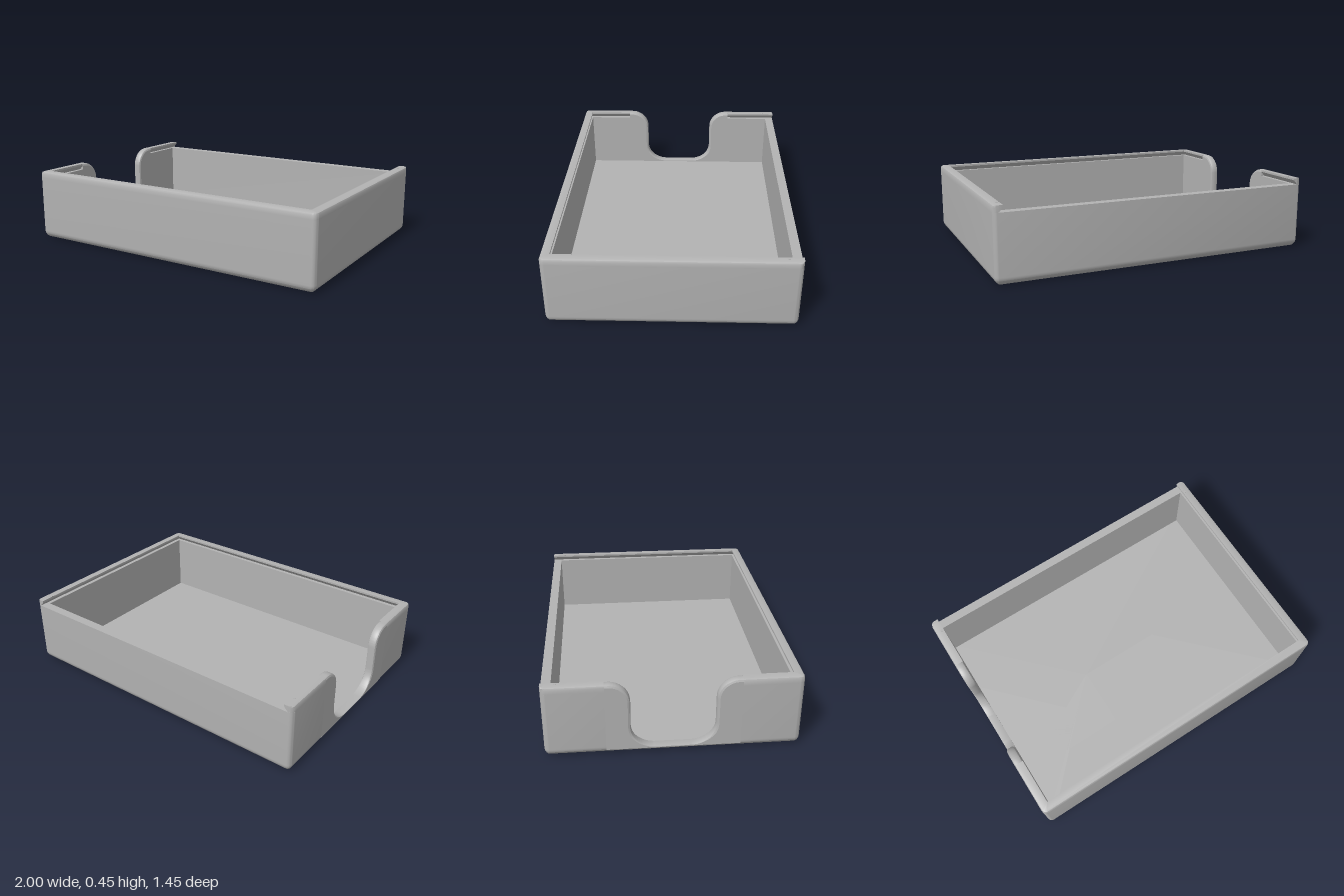
import * as THREE from 'three';
import { toCreasedNormals } from 'three/addons/utils/BufferGeometryUtils.js';

const HX = 1, HZ = 0.725, TOP = 0.45, LEDGE = 0.41, FLOOR = 0.03;
const WALL = 0.055, CORNER = 0.03, FILLET = 0.05, EDGE = 0.015, GAP = 0.38;

const grey = new THREE.MeshStandardMaterial({ color: 0xb3b3b3, side: THREE.DoubleSide });
grey.name = 'grey plastic';

// Skin a grid of points: rows[i][j] = [x, y, z]
function skin(rows, caps = []) {
  const pos = [];
  for (let i = 0; i + 1 < rows.length; i++) {
    for (let j = 0; j + 1 < rows[i].length; j++) {
      const a = rows[i][j], b = rows[i + 1][j], c = rows[i + 1][j + 1], d = rows[i][j + 1];
      pos.push(...a, ...b, ...c, ...a, ...c, ...d);
    }
  }
  for (const t of caps) pos.push(...t);
  const g = new THREE.BufferGeometry();
  g.setAttribute('position', new THREE.Float32BufferAttribute(pos, 3));
  return toCreasedNormals(g, 0.6);
}

// Stations along the outline; each maps an inset to [x, z]
const side = (sx, z) => [(inset) => [sx * (HX - inset), z]];
function corner(sx, sz, from) {
  return Array.from({ length: 7 }, (_, k) => (inset) => {
    const a = from - (k / 6) * Math.PI / 2;
    const r = Math.max(0, CORNER - inset);
    return [sx * (HX - inset - r) + r * Math.cos(a), sz * (HZ - inset - r) + r * Math.sin(a)];
  });
}
// Rim end at the open back, following the rounded corner below it
function backEnd(sx) {
  return Array.from({ length: 6 }, (_, k) => (inset) => {
    const a = (k / 5) * Math.PI / 2;
    const i = Math.max(inset, CORNER * (1 - Math.cos(a)));
    return [sx * (HX - i), -HZ + CORNER * (1 - Math.sin(a))];
  });
}

// Sweep a profile of [inset, y] along stations
function sweep(stations, profile, capped = false) {
  const rows = stations.map((s) => profile.map(([inset, y]) => {
    const [x, z] = s(inset);
    return [x, y, z];
  }));
  const caps = [];
  if (capped) {
    const faces = THREE.ShapeUtils.triangulateShape(profile.map((p) => new THREE.Vector2(...p)), []);
    for (const row of [rows[0], rows[rows.length - 1]]) {
      for (const f of faces) caps.push(f.flatMap((i) => row[i]));
    }
  }
  return skin(rows, caps);
}

function fillet(a0, a1, n) {
  return Array.from({ length: n + 1 }, (_, k) => {
    const a = a0 + (a1 - a0) * k / n;
    return [FILLET * (1 - Math.sin(a)), FILLET * (1 - Math.cos(a))];
  });
}

export function createModel() {
  const group = new THREE.Group();
  group.name = 'openTray';
  const add = (name, geometry) => {
    const mesh = new THREE.Mesh(geometry, grey);
    mesh.name = name;
    group.add(mesh);
    return mesh;
  };

  const PI = Math.PI;
  const frontCorners = [...corner(-1, 1, PI), ...corner(1, 1, PI / 2)];
  const backCorners = [...corner(1, -1, 0), ...corner(-1, -1, -PI / 2)];
  const around = [...side(-1, GAP), ...frontCorners, ...backCorners, ...side(-1, -GAP)];
  const split = Math.acos(1 - FLOOR / FILLET);

  // Floor slab with rounded underside
  add('floor', sweep([...around, around[0]],
    [[HZ, 0], ...fillet(0, split, 6), [HZ, FLOOR]]));

  // Walls up to the lid ledge, leaving a gap for the notch panel
  add('walls', sweep(around,
    [...fillet(split, PI / 2, 3), [0, LEDGE], [WALL, LEDGE], [WALL, FLOOR]]));

  // Undercut rim that holds a sliding lid, open at the back
  const rim = [[0, LEDGE], [0, TOP - EDGE], [EDGE * 0.3, TOP - EDGE * 0.3], [EDGE, TOP],
    [WALL, TOP], [WALL, TOP - 0.012], [0.03, LEDGE]];
  add('lidRim', sweep([...side(-1, GAP), ...frontCorners, ...backEnd(1)], rim, true));
  add('lidRimShort', sweep([...backEnd(-1).reverse(), ...side(-1, -GAP)], rim, true));

  // Finger notch outline in (z, y)
  const path = new THREE.Path();
  path.moveTo(-GAP, TOP);
  path.lineTo(-0.36, TOP);
  path.absarc(-0.36, 0.33, 0.12, PI / 2, 0, true);
  path.lineTo(-0.24, 0.175);
  path.absarc(-0.1, 0.175, 0.14, PI, 1.5 * PI, false);
  path.lineTo(0.1, 0.035);
  path.absarc(0.1, 0.175, 0.14, 1.5 * PI, 2 * PI, false);
  path.lineTo(0.24, 0.33);
  path.absarc(0.36, 0.33, 0.12, PI, PI / 2, true);
  path.lineTo(GAP, TOP);
  const pts = path.getPoints(14).filter((p, i, all) => i === 0 || p.distanceTo(all[i - 1]) > 1e-4);

  // Rounded edge running along the notch
  const rows = pts.map((p, i) => {
    const t = pts[Math.min(i + 1, pts.length - 1)].clone().sub(pts[Math.max(i - 1, 0)]).normalize();
    const r = EDGE * THREE.MathUtils.clamp((p.y - 0.035) / 0.08, 0, 1);
    const inner = -HX + WALL;
    return [[-HX, r], [-HX + 0.3 * r, 0.3 * r], [-HX + r, 0],
      [inner - r, 0], [inner - 0.3 * r, 0.3 * r], [inner, r]]
      .map(([x, d]) => [x, p.y - t.x * d, p.x + t.y * d]);
  });
  add('notchEdge', skin(rows));

  // Flat faces of the notched panel
  const outline = rows.map((row) => new THREE.Vector2(row[0][2], row[0][1]));
  const face = new THREE.Shape([...outline, new THREE.Vector2(GAP, FLOOR), new THREE.Vector2(-GAP, FLOOR)]);
  for (const [name, x] of [['notchOuterFace', -HX], ['notchInnerFace', -HX + WALL]]) {
    add(name, new THREE.ShapeGeometry(face).rotateY(-PI / 2)).position.x = x;
  }

  for (const s of [-1, 1]) {
    // Stop where the lid groove meets the panel
    add('grooveStop', new THREE.PlaneGeometry(0.04, 0.035))
      .position.set(-HX + WALL - 0.02, LEDGE + 0.0175, s * GAP);
    // Small lid detent on the rim
    add('detent', new THREE.CylinderGeometry(0.01, 0.01, 0.006, 16))
      .position.set(s * 0.957, TOP - 0.001, -0.64);
  }
  return group;
}
